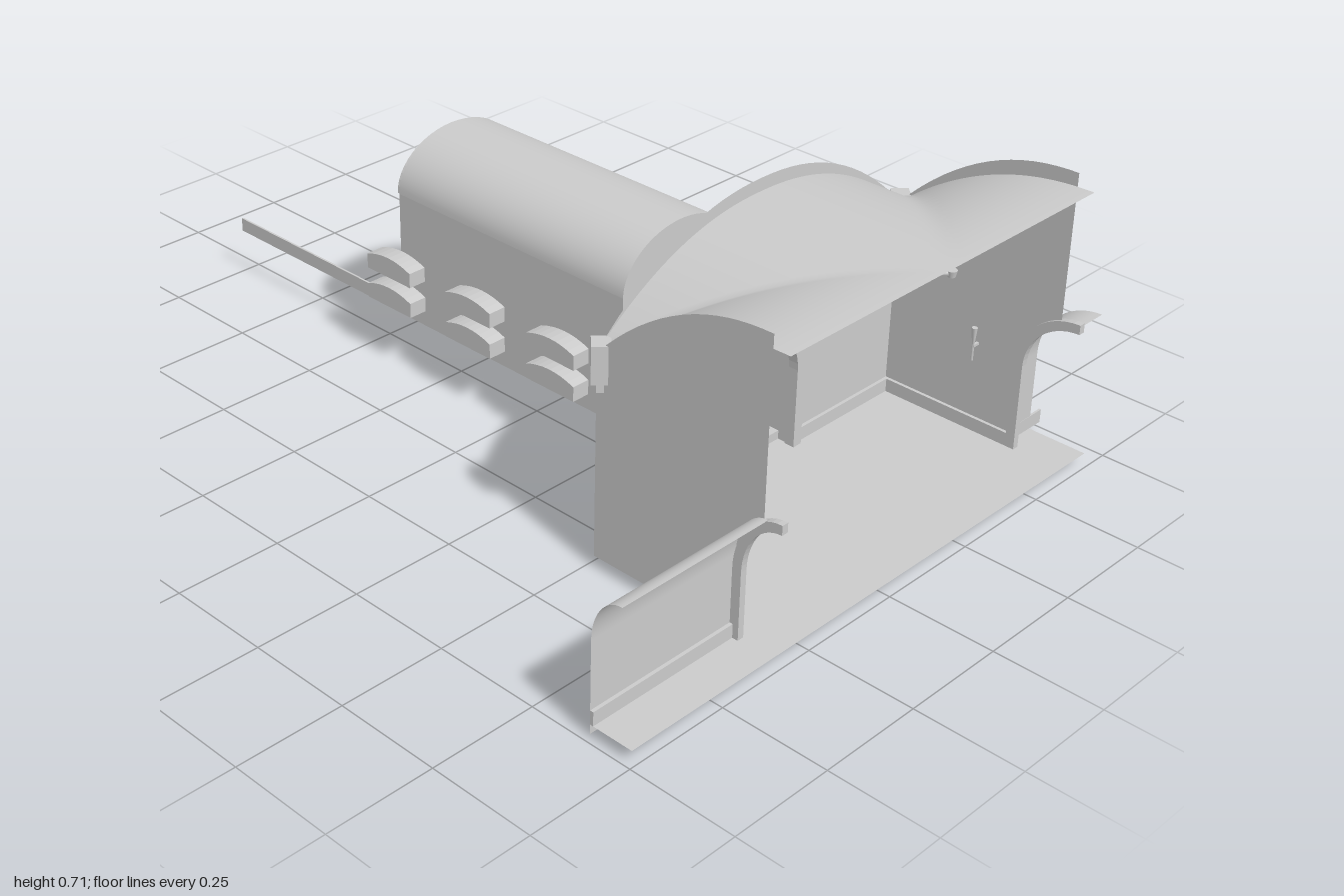
import * as THREE from 'three';

const mat = new THREE.MeshStandardMaterial({ color: 0xcccccc, side: THREE.DoubleSide });
const CX = 0.128, HALF = 0.473, LEFT = CX - HALF, RIGHT = CX + HALF; // room centre and side walls
const BACK = 0.515, FRONT = 0.99, FLOOR = 0.027;

export function createModel() {
  const root = new THREE.Group();
  const add = (name, geo, x = 0, y = 0, z = 0) => {
    const m = new THREE.Mesh(geo, mat);
    m.name = name;
    m.position.set(x, y, z);
    root.add(m);
    return m;
  };
  const box = (name, w, h, d, x, y, z) => add(name, new THREE.BoxGeometry(w, h, d), x, y, z);

  // Smooth sheet through rows of [x, y, z] points
  const loft = (rows) => {
    const n = rows[0].length, idx = [];
    for (let i = 0; i < rows.length - 1; i++)
      for (let j = 0; j < n - 1; j++) {
        const a = i * n + j, b = a + n;
        idx.push(a, b, a + 1, b, b + 1, a + 1);
      }
    const g = new THREE.BufferGeometry();
    g.setAttribute('position', new THREE.Float32BufferAttribute(rows.flat(2), 3));
    g.setIndex(idx);
    g.computeVertexNormals();
    return g;
  };
  // Elliptical arch outline from its right foot over to its left foot
  const arch = (cx, half, base, spring, rise, n = 24) => {
    const p = [[cx + half, base]];
    for (let i = 0; i <= n; i++) {
      const a = (Math.PI * i) / n;
      p.push([cx + half * Math.cos(a), spring + rise * Math.sin(a)]);
    }
    p.push([cx - half, base]);
    return p;
  };
  const shapeOf = (pts) => new THREE.Shape(pts.map((p) => new THREE.Vector2(p[0], p[1])));
  const solid = (pts, depth) =>
    new THREE.ExtrudeGeometry(shapeOf(pts), { depth, bevelEnabled: false, curveSegments: 12 });
  const band = (outer, inner, depth) => solid([...outer, ...inner.slice().reverse()], depth);
  const alongZ = (pts, z0, z1) => loft([z0, z1].map((z) => pts.map((p) => [p[0], p[1], z])));
  const alongX = (pts, x0, x1) => loft([x0, x1].map((x) => pts.map((p) => [x, p[1], p[0]])));
  const fall = (t) => Math.pow(Math.abs(t), 2.2);

  // Room floor, continuing under both side passages
  const floor = new THREE.ShapeGeometry(shapeOf([
    [-0.735, FRONT], [0.69, FRONT], [0.69, 0.845], [RIGHT, 0.845], [RIGHT, BACK],
    [LEFT, BACK], [LEFT, 0.885], [-0.735, 0.885]]));
  floor.rotateX(Math.PI / 2);
  add('floor', floor, 0, FLOOR, 0);

  // Back wall with arched head and doorway
  const doorInner = arch(CX, 0.131, FLOOR, 0.22, 0.131);
  const doorOuter = arch(CX, 0.156, FLOOR, 0.22, 0.156);
  const head = [];
  for (let i = 0; i <= 32; i++) {
    const u = 1 - i / 16;
    head.push([CX + u * HALF, 0.715 - 0.215 * fall(u)]);
  }
  add('backWall', new THREE.ShapeGeometry(shapeOf(
    [[RIGHT, FLOOR], ...head, [LEFT, FLOOR], ...doorInner.slice().reverse()])), 0, 0, BACK);
  add('doorFrame', band(doorOuter, doorInner, 0.025), 0, 0, BACK - 0.008);

  // Quarter-arch profile [z, y] used by the side passages
  const quarter = (zBack, zEnd, base, spring, top) => {
    const p = [[zBack, base]];
    for (let i = 0; i <= 14; i++) {
      const a = (Math.PI / 2) * (i / 14);
      p.push([zEnd - (zEnd - zBack) * Math.cos(a), spring + (top - spring) * Math.sin(a)]);
    }
    return p;
  };

  // Side walls, each with an opening to a passage, its trim and a lamp
  for (const s of [-1, 1]) {
    const x = CX + s * HALF;
    const zb = s > 0 ? 0.85 : 0.885, top = s > 0 ? 0.385 : 0.335;
    const outer = quarter(zb, 1, FLOOR, top - 0.15, top);
    const inner = quarter(zb + 0.022, 1, FLOOR, top - 0.15, top - 0.022);
    const side = [[BACK, FLOOR]];
    for (let i = 0; i <= 16; i++) {
      const t = 1 - i / 16;
      side.push([0.95 - t * 0.435, 0.715 - 0.215 * fall(t)]);
    }
    const cut = outer.filter((p) => p[0] < 0.95);
    side.push([0.95, cut[cut.length - 1][1] + 0.005], ...cut.reverse());
    add('sideWall', new THREE.ShapeGeometry(shapeOf(side)).rotateY(-Math.PI / 2), x, 0, 0);
    add('passageTrim', band(outer, inner, 0.016).rotateY(-Math.PI / 2), x + 0.008, 0, 0);
    box('sideSkirting', 0.008, 0.032, zb - BACK, x - s * 0.004, 0.043, (zb + BACK) / 2);
    const w = HALF - 0.156;
    box('backSkirting', w, 0.032, 0.008, x - s * w / 2, 0.043, BACK + 0.004);

    // Wall lamp
    const lx = x - s * 0.017;
    add('wallLamp', new THREE.CylinderGeometry(0.007, 0.003, 0.04, 8), lx, 0.265, 0.75);
    add('wallLampStem', new THREE.CylinderGeometry(0.003, 0.003, 0.05, 6), lx, 0.23, 0.75);
    box('wallLampArm', 0.018, 0.006, 0.006, x - s * 0.009, 0.24, 0.75);

    // Corner capital set diagonally under the vault
    box('capital', 0.045, 0.085, 0.04, x - s * 0.006, 0.482, BACK + 0.006).rotation.y = Math.PI / 4;
    box('capitalBase', 0.03, 0.025, 0.026, x - s * 0.009, 0.43, BACK + 0.009).rotation.y = Math.PI / 4;

    // Diagonal vault rib
    const pts = [];
    for (let i = 0; i <= 16; i++) {
      const t = 0.97 * (1 - i / 16);
      pts.push(new THREE.Vector3(CX + s * t * HALF, 0.677 - 0.185 * fall(t), FRONT - t * (FRONT - BACK)));
    }
    add('vaultRib', new THREE.TubeGeometry(new THREE.CatmullRomCurve3(pts), 32, 0.007, 6));
  }
  add('vaultBoss', new THREE.CylinderGeometry(0.011, 0.008, 0.014, 12), CX, 0.676, 0.989);

  // Groin vault: the higher of two crossing barrels
  const vault = [];
  for (let k = 0; k <= 24; k++) {
    const w = k / 24, row = [];
    for (let i = 0; i <= 48; i++) {
      const u = i / 24 - 1;
      row.push([CX + u * HALF, 0.685 - 0.185 * fall(Math.min(Math.abs(u), w)), FRONT - w * (FRONT - BACK)]);
    }
    vault.push(row);
  }
  add('vault', loft(vault));

  // Side passages: wall curving forward into a half vault
  add('leftOfRoomPassage', alongX(quarter(0.885, 0.96, 0.005, 0.215, 0.325), -0.735, LEFT));
  box('passageSkirting', LEFT + 0.735, 0.032, 0.008, (LEFT - 0.735) / 2, 0.043, 0.889);
  add('rightOfRoomPassage', alongX(quarter(0.845, FRONT, 0.005, 0.22, 0.37), RIGHT, 0.69));
  box('passageSkirting', 0.13, 0.032, 0.005, 0.665, 0.043, 0.843);

  // Stair corridor: three stepped barrel vaults between sloping side walls
  const CH = 0.135, tops = [0.38, 0.405, 0.435], zs = [BACK, 0.44, 0.37, 0.3];
  const sideOutline = [[0.515, 0], [0.45, 0], [0.3, 0.05]];
  for (let i = 2; i >= 0; i--) sideOutline.push([zs[i + 1], tops[i] - CH], [zs[i], tops[i] - CH]);
  for (const s of [-1, 1])
    add('stairSideWall', new THREE.ShapeGeometry(shapeOf(sideOutline)).rotateY(-Math.PI / 2), CX + s * CH);
  tops.forEach((t, i) => {
    const a = arch(CX, CH, t - CH, t - CH, CH);
    add('stairVault', alongZ(a, zs[i], zs[i + 1]));
    if (i < 2) {
      const up = arch(CX, CH, t - CH, tops[i + 1] - CH, CH);
      add('stairVaultRiser', new THREE.ShapeGeometry(shapeOf([...up, ...a.slice().reverse()])), 0, 0, zs[i + 1]);
    }
  });
  const steps = [[0.515, FLOOR]];
  for (let i = 0; i < 4; i++) {
    const z = 0.485 - i * 0.05, y = FLOOR + i * 0.021;
    steps.push([z, y], [z, y + 0.021]);
  }
  steps.push([0.3, 0.111]);
  // Separate treads and risers keep the step edges sharp
  for (let i = 0; i < steps.length - 1; i++)
    add('stairStep', alongX([steps[i], steps[i + 1]], CX - CH, CX + CH));
  box('stairLamp', 0.012, 0.04, 0.012, 0.24, 0.275, 0.4);
  box('stairLampArm', 0.022, 0.006, 0.006, 0.252, 0.268, 0.4);

  // Tunnel: straight walls, elliptical roof, floor and front end wall
  const TH = 0.172, Z0 = 0.3, Z1 = -0.4;
  const roof = arch(CX, TH, 0.42, 0.42, 0.126, 32);
  add('tunnelRoof', alongZ(roof.slice(1, -1), Z0, Z1));
  for (const s of [-1, 1])
    add('tunnelWall', alongZ([[CX + s * TH, 0.11], [CX + s * TH, 0.42]], Z0, Z1));
  add('tunnelFloor', alongZ([[CX - TH, 0.11], [CX + TH, 0.11]], Z0, Z1));
  add('tunnelFrontWall', new THREE.ShapeGeometry(shapeOf([
    ...arch(CX, TH, 0.11, 0.42, 0.126, 32),
    ...arch(CX, CH, 0.11, 0.3, CH).reverse()])), 0, 0, Z0);
  add('tunnelEndRim', band(arch(CX, TH - 0.002, 0.42, 0.42, 0.122),
    arch(CX, TH - 0.016, 0.42, 0.42, 0.106), 0.012), 0, 0, Z1 - 0.008);

  // Paired bay boxes along both tunnel walls
  const bay = [[-0.0725, -0.022], [0.0725, -0.022], [0.0725, 0.014]];
  for (let i = 1; i <= 8; i++) {
    const t = 1 - i / 4;
    bay.push([0.0725 * t, 0.028 - 0.014 * t * t]);
  }
  for (const s of [-1, 1])
    for (const z of [0.13, -0.13, -0.393])
      for (const y of [0.247, 0.17])
        add('bayBox', solid(bay, 0.046).rotateY(-Math.PI / 2), CX + s * (TH + 0.023) + 0.023, y, z);

  // Thin skirting running on beyond the tunnel
  box('trailingSkirting', 0.005, 0.034, 0.605, CX - TH + 0.003, 0.128, -0.6975);
  return root;
}
